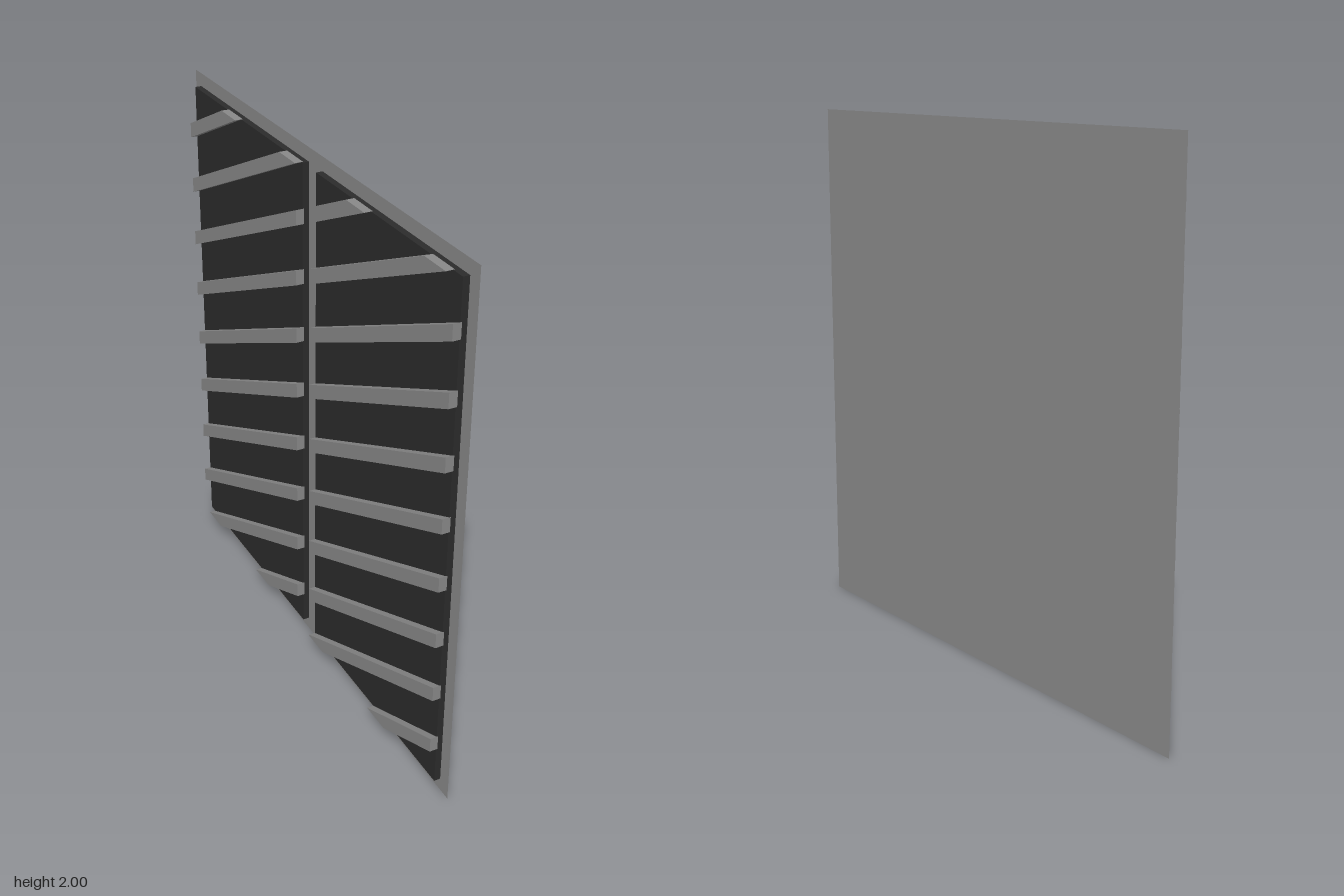
import * as THREE from 'three';

const grey = new THREE.MeshStandardMaterial({ color: 0x888888, side: THREE.DoubleSide });
grey.name = 'grey';
const charcoal = new THREE.MeshStandardMaterial({ color: 0x2b2b2b });
charcoal.name = 'charcoal';

const SLOPE = Math.tan(THREE.MathUtils.degToRad(25));
const PITCH = 0.2225; // vertical distance between slats
const HALF = 0.028;   // half the vertical height of a slat

// Keep the part of a polygon where sign * point[axis] <= sign * limit
function clip(points, axis, limit, sign) {
  const out = [];
  points.forEach((a, i) => {
    const b = points[(i + 1) % points.length];
    const da = sign * (a[axis] - limit), db = sign * (b[axis] - limit);
    if (da <= 0) out.push(a);
    if (da * db < 0) out.push(a.clone().lerp(b, da / (da - db)));
  });
  return out;
}

// Slanted strip cut to the panel outline; shape x runs along z
function slatGeometry(k, z0, z1, y0, y1) {
  const mid = z => 1.78 + (z - 0.95) * SLOPE + k * PITCH;
  let pts = [[-1.1, -1], [1.1, -1], [1.1, 1], [-1.1, 1]]
    .map(([z, s]) => new THREE.Vector2(z, mid(z) + s * HALF));
  pts = clip(pts, 'x', z0, -1);
  pts = clip(pts, 'x', z1, 1);
  pts = clip(pts, 'y', y0, -1);
  pts = clip(pts, 'y', y1, 1);
  if (pts.length < 3) return null;
  const geo = new THREE.ExtrudeGeometry(new THREE.Shape(pts), { depth: 0.03, bevelEnabled: false });
  return geo.rotateY(-Math.PI / 2).translate(0.005, 0, 0);
}

export function createModel() {
  const model = new THREE.Group();
  model.name = 'slattedPanel';

  // Thin square backing sheet
  const sheet = new THREE.Mesh(new THREE.PlaneGeometry(2, 2).rotateY(Math.PI / 2), grey);
  sheet.name = 'backingSheet';
  sheet.position.set(0.025, 1, 0);
  model.add(sheet);

  // Two raised dark panels, each crossed by diagonal slats
  for (const z of [-0.5, 0.5]) {
    const half = new THREE.Group();
    half.name = z > 0 ? 'frontHalf' : 'backHalf';

    const panel = new THREE.Mesh(new THREE.BoxGeometry(0.024, 1.9, 0.9), charcoal);
    panel.name = 'darkPanel';
    panel.position.set(0.012, 1, z);
    half.add(panel);

    for (let k = -8; k <= 6; k++) {
      const geo = slatGeometry(k, z - 0.451, z + 0.451, 0.049, 1.951);
      if (!geo) continue;
      const slat = new THREE.Mesh(geo, grey);
      slat.name = 'slat';
      half.add(slat);
    }
    model.add(half);
  }
  return model;
}
